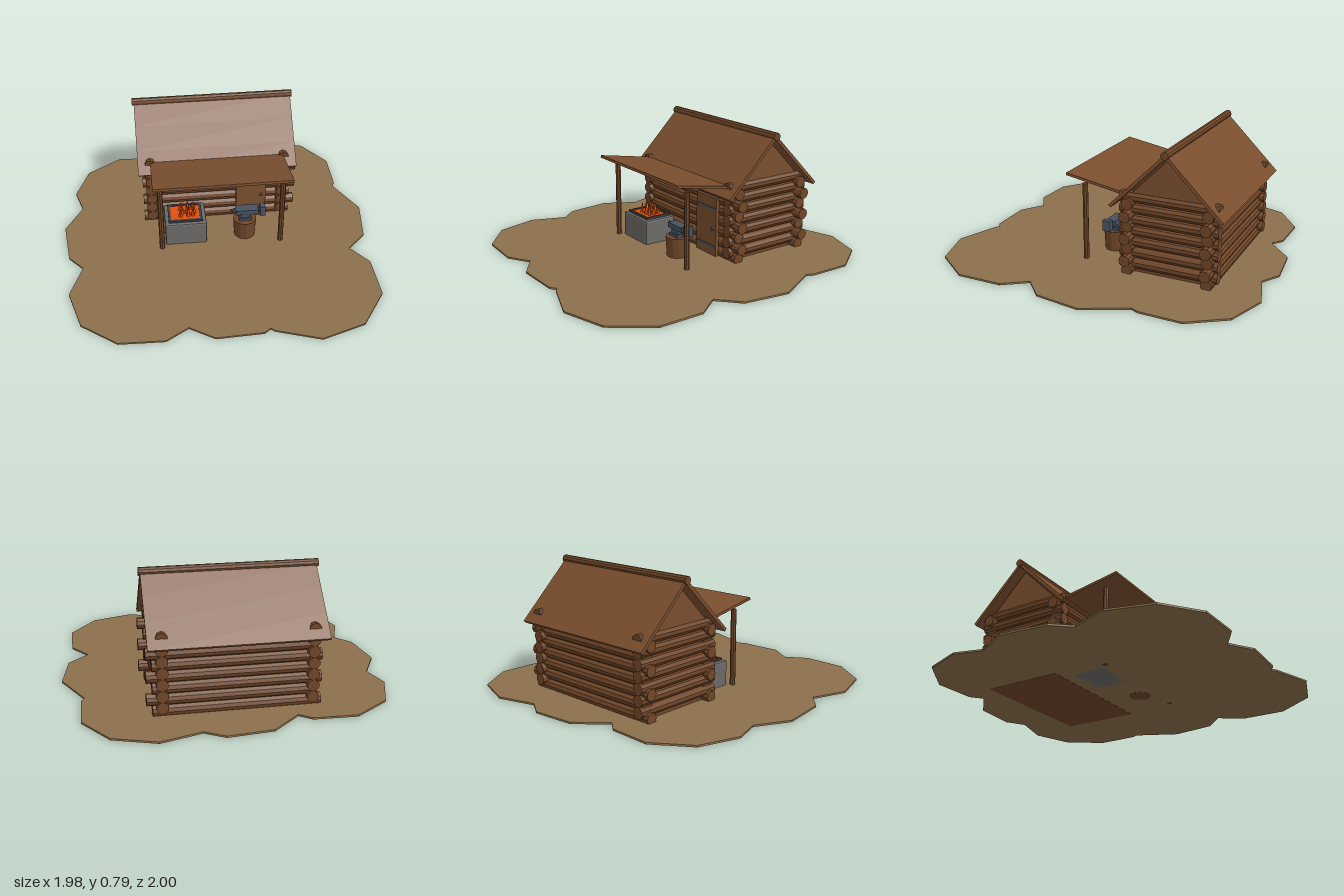
import * as THREE from 'three';
import { RoundedBoxGeometry } from 'three/addons/geometries/RoundedBoxGeometry.js';

const mat = (name, color, opts = {}) => {
  const m = new THREE.MeshStandardMaterial({ color, flatShading: true, ...opts });
  m.name = name;
  return m;
};

export function createModel() {
  const model = new THREE.Group();
  model.name = 'smithy';
  const earth = mat('earth', 0x8b6f4b);
  const log = mat('log wood', 0x704628);
  const plank = mat('plank wood', 0x7a4e2e);
  const stone = mat('stone', 0x6c6a67);
  const iron = mat('iron', 0x465361);
  const coal = mat('coal', 0x3a3d42);
  const fire = mat('fire', 0xe2500f);

  const add = (parent, name, geo, material, x = 0, y = 0, z = 0) => {
    const mesh = new THREE.Mesh(geo, material);
    mesh.name = name;
    mesh.position.set(x, y, z);
    parent.add(mesh);
    return mesh;
  };
  const group = (name) => {
    const g = new THREE.Group();
    g.name = name;
    model.add(g);
    return g;
  };
  const box = (parent, name, material, w, h, d, x, y, z) =>
    add(parent, name, new THREE.BoxGeometry(w, h, d), material, x, y, z);
  // Flat board running between two (y, z) points
  const slab = (parent, name, material, width, thick, x, [y0, z0], [y1, z1]) => {
    const m = box(parent, name, material, width, thick, Math.hypot(y1 - y0, z1 - z0),
      x, (y0 + y1) / 2, (z0 + z1) / 2);
    m.rotation.x = -Math.atan2(y1 - y0, z1 - z0);
    return m;
  };

  // Irregular ground patch, outline in (x, z)
  const outline = [
    [0.135, -1], [0.25, -0.93], [0.49, -1], [0.74, -0.915], [0.886, -0.7], [0.88, -0.44],
    [0.86, -0.4], [0.987, -0.14], [0.945, 0.14], [0.82, 0.26], [0.92, 0.4], [0.92, 0.68],
    [0.755, 0.91], [0.49, 0.995], [0.23, 0.905], [0.21, 0.885], [0.17, 0.915], [-0.11, 0.925],
    [-0.255, 0.83], [-0.39, 0.915], [-0.66, 0.905], [-0.87, 0.745], [-0.945, 0.487],
    [-0.865, 0.265], [-0.955, 0.16], [-0.99, -0.127], [-0.88, -0.33], [-0.93, -0.5],
    [-0.845, -0.74], [-0.627, -0.89], [-0.37, -0.88], [-0.3, -0.825], [-0.13, -0.975],
  ];
  const patch = new THREE.Shape(outline.map(([x, z]) => new THREE.Vector2(x, -z)));
  const groundGeo = new THREE.ExtrudeGeometry(patch, { depth: 0.011, bevelEnabled: false });
  groundGeo.rotateX(-Math.PI / 2);
  add(model, 'ground', groundGeo, earth, 0, 0.001, 0);

  // Cabin: interlocking log walls around a solid core
  const CX = 0.015, CZ = -0.435, R = 0.035, STEP = 0.0675;
  const cabin = group('cabin');
  box(cabin, 'wallCore', log, 0.85, 0.48, 0.49, CX, 0.24, CZ);
  for (let i = 0; i < 7; i++) {
    const y = R + i * STEP;
    for (const side of [-1, 1]) {
      const long = new THREE.CylinderGeometry(R, R, 0.958, 10).rotateZ(Math.PI / 2);
      add(cabin, 'longWallLog', long, log, CX + (i % 2 ? 0.033 : 0), y, CZ + side * 0.245);
      const short = new THREE.CylinderGeometry(R, R, 0.6, 10).rotateX(Math.PI / 2);
      add(cabin, 'endWallLog', short, log, CX + side * 0.425, y + STEP / 2, CZ);
    }
  }

  // Gables above the end walls
  const tri = new THREE.Shape();
  tri.moveTo(-0.232, 0.495);
  tri.lineTo(0.232, 0.495);
  tri.lineTo(0, 0.73);
  tri.closePath();
  for (const side of [-1, 1]) {
    const g = new THREE.ExtrudeGeometry(tri, { depth: 0.04, bevelEnabled: false });
    g.translate(0, 0, -0.02).rotateY(Math.PI / 2);
    add(cabin, 'gable', g, plank, CX + side * 0.425, 0, CZ);
  }

  // Roof: three planks on each slope and a round ridge beam
  const roof = group('roof');
  for (const side of [-1, 1]) {
    for (let i = 0; i < 3; i++) {
      const at = (t) => [0.76 - 0.336 * t, CZ + side * 0.338 * t];
      slab(roof, 'roofPlank', plank, 1.008, 0.02, CX + 0.001, at(i / 3), at((i + 1) / 3));
    }
  }
  const ridge = new THREE.CylinderGeometry(0.024, 0.024, 1.03, 10).rotateZ(Math.PI / 2);
  add(roof, 'ridgeBeam', ridge, log, CX, 0.766, CZ);

  // Awning rising towards the front on two posts
  const awning = group('awning');
  slab(awning, 'awningBoard', plank, 0.85, 0.016, CX, [0.478, -0.16], [0.546, 0.227]);
  for (const side of [-1, 1]) {
    add(awning, 'awningPost', new THREE.CylinderGeometry(0.017, 0.017, 0.49, 8), log,
      CX + side * 0.38, 0.245, 0.125);
  }

  // Door with strap hinges and a knob
  const door = group('door');
  box(door, 'doorPanel', plank, 0.196, 0.375, 0.024, 0.238, 0.198, -0.15);
  for (const y of [0.07, 0.315]) box(door, 'hingeStrap', iron, 0.196, 0.014, 0.006, 0.238, y, -0.137);
  add(door, 'doorKnob', new THREE.IcosahedronGeometry(0.011, 1), iron, 0.305, 0.187, -0.132);

  // Forge with an iron rim, glowing bed and flames
  const forge = group('forge');
  const FX = -0.208, FZ = -0.01;
  add(forge, 'forgeBlock', new RoundedBoxGeometry(0.264, 0.168, 0.22, 1, 0.01), stone, FX, 0.084, FZ);
  for (const side of [-1, 1]) {
    box(forge, 'forgeRimLong', coal, 0.216, 0.016, 0.016, FX, 0.174, FZ + side * 0.08);
    box(forge, 'forgeRimShort', coal, 0.016, 0.016, 0.144, FX + side * 0.1, 0.174, FZ);
  }
  box(forge, 'emberBed', fire, 0.184, 0.008, 0.144, FX, 0.172, FZ);
  for (let i = 0; i < 9; i++) {
    const h = 0.065 + 0.028 * ((i * 5) % 9) / 8;
    const flame = add(forge, 'flame', new THREE.ConeGeometry(0.014, h, 5), fire,
      FX + 0.012 + ((i % 3) - 1) * 0.038 + (i % 2) * 0.008, 0.175 + h / 2,
      FZ + (Math.floor(i / 3) - 1) * 0.034);
    flame.rotation.set(0, i, 0.1 * ((i % 3) - 1));
  }

  // Anvil on a tapered stump, with a hammer head at its end
  const AX = 0.175, AZ = 0.033;
  add(model, 'stump', new THREE.CylinderGeometry(0.075, 0.067, 0.138, 12), log, AX, 0.069, AZ);
  const anvil = group('anvil');
  box(anvil, 'anvilFoot', iron, 0.08, 0.018, 0.07, AX, 0.147, AZ);
  box(anvil, 'anvilWaist', iron, 0.06, 0.034, 0.05, AX, 0.171, AZ);
  box(anvil, 'anvilFace', iron, 0.14, 0.032, 0.065, AX + 0.013, 0.2, AZ);
  const horn = new THREE.CylinderGeometry(0.008, 0.018, 0.04, 8).rotateZ(Math.PI / 2);
  add(anvil, 'anvilHorn', horn, iron, 0.103, 0.2, AZ);
  box(anvil, 'hammerHandle', iron, 0.03, 0.015, 0.015, 0.265, 0.198, AZ);
  box(anvil, 'hammerHead', iron, 0.034, 0.066, 0.05, 0.287, 0.198, AZ + 0.005);

  return model;
}
